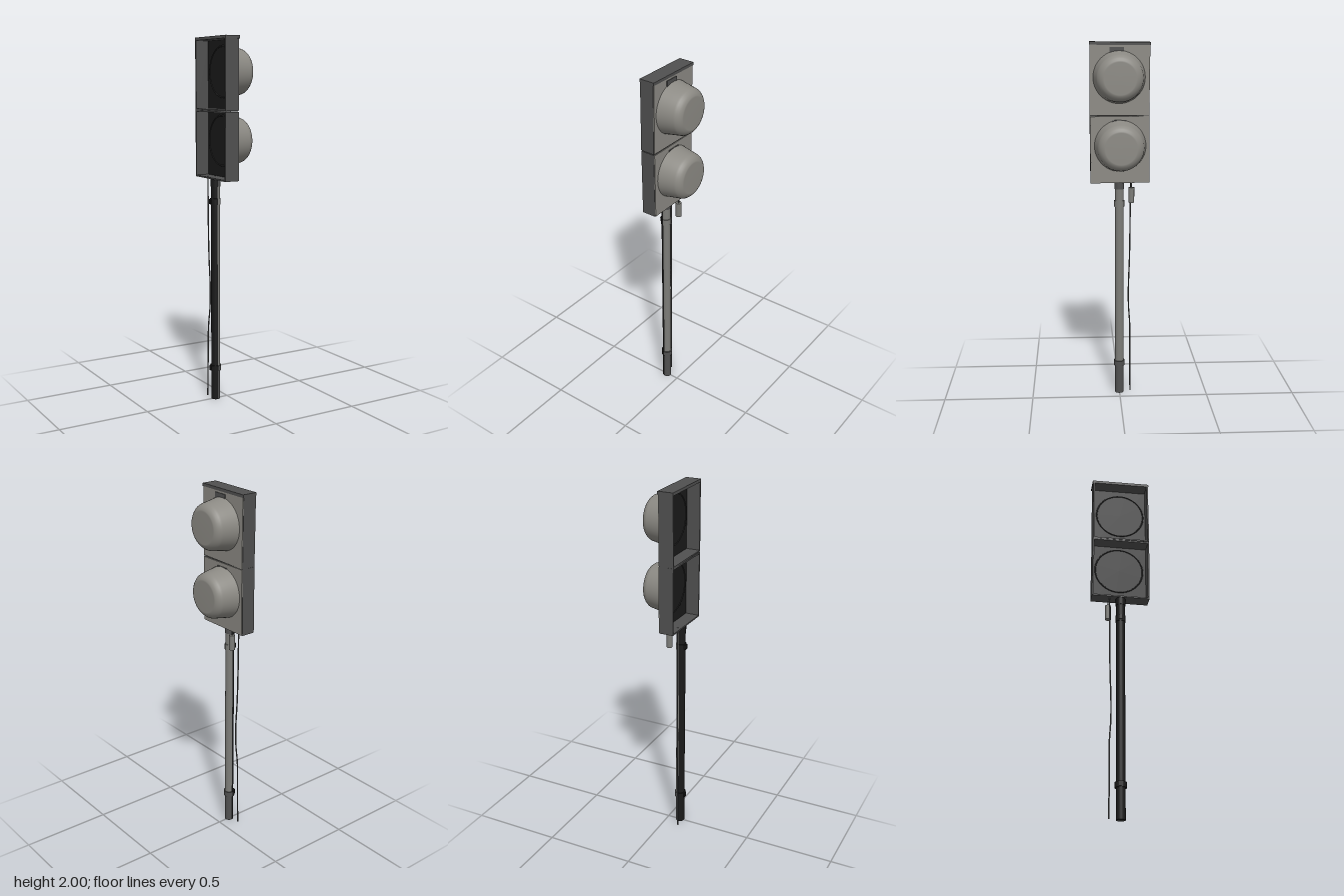
import * as THREE from 'three';

const mat = (name, color, side = THREE.FrontSide) => {
  const m = new THREE.MeshStandardMaterial({ color, side });
  m.name = name;
  return m;
};

export function createModel() {
  const paleGrey = mat('paleGrey', 0x8c8a84);
  const poleGrey = mat('poleGrey', 0x7c7c78);
  const shellGrey = mat('shellGrey', 0x505050);
  const darkGrey = mat('darkGrey', 0x2c2c2c);
  const black = mat('black', 0x1a1a1a);

  const model = new THREE.Group();
  model.name = 'signalLight';

  const add = (parent, name, geometry, material, x = 0, y = 0, z = 0) => {
    const mesh = new THREE.Mesh(geometry, material);
    mesh.name = name;
    mesh.position.set(x, y, z);
    parent.add(mesh);
    return mesh;
  };
  const box = (parent, name, size, material, x, y, z) =>
    add(parent, name, new THREE.BoxGeometry(...size), material, x, y, z);

  // Cup: tapered side, rounded shoulder, flat end, turned to point along +x
  const cupProfile = [
    [0.14, 0], [0.131, 0.05], [0.124, 0.09], [0.12, 0.101], [0.112, 0.112],
    [0.103, 0.12], [0.093, 0.125], [0.085, 0.127], [0, 0.127],
  ].map(([r, h]) => new THREE.Vector2(r, h));

  // One lamp: a tray open towards -x, with a cup on its +x plate
  function lamp(name, yCentre, height, tilt, cupY, cupZ, tabZ) {
    const g = new THREE.Group();
    g.name = name;
    g.position.y = yCentre;
    g.rotation.x = tilt;
    const w = 0.322, t = 0.008, depth = 0.08, x = -0.065;
    for (const s of [-1, 1]) {
      box(g, s > 0 ? 'topWall' : 'bottomWall', [depth, t, w], shellGrey, x, s * (height - t) / 2, 0);
      box(g, 'sideWall', [depth, height - 2 * t, t], shellGrey, x, 0, s * (w - t) / 2);
    }
    box(g, 'facePlate', [0.005, height - 0.004, w - 0.004], paleGrey, -0.0235, 0, 0);
    box(g, 'plateLining', [0.003, height - 2 * t, w - 2 * t], black, -0.0275, 0, 0);
    const cup = add(g, 'cup', new THREE.LatheGeometry(cupProfile, 48), paleGrey, -0.021, cupY, cupZ);
    cup.rotation.z = -Math.PI / 2;
    // Lens and its rim, seen from the open side
    const lens = add(g, 'lens', new THREE.CircleGeometry(0.132, 48), black, -0.031, cupY, cupZ);
    lens.rotation.y = -Math.PI / 2;
    const rim = add(g, 'lensRim', new THREE.TorusGeometry(0.136, 0.004, 6, 48), darkGrey, -0.03, cupY, cupZ);
    rim.rotation.y = Math.PI / 2;
    box(g, 'hoodTab', [0.006, 0.036, 0.078], shellGrey, -0.02, height / 2 - 0.04, tabZ);
    model.add(g);
    return g;
  }

  const upper = lamp('upperLamp', 1.802, 0.386, -0.008, 0.012, 0.004, 0.018);
  lamp('lowerLamp', 1.424, 0.366, 0.006, 0.021, -0.002, 0.002);
  box(upper, 'topCap', [0.086, 0.016, 0.328], shellGrey, -0.062, 0.189, 0);

  // Pole, pale on its +x half and dark on its -x half
  const px = -0.074;
  function post(name, r, y0, y1, paleMaterial, darkMaterial) {
    const h = y1 - y0;
    [[0, paleMaterial, 'OuterHalf'], [Math.PI, darkMaterial, 'InnerHalf']].forEach(([start, m, suffix]) =>
      add(model, name + suffix, new THREE.CylinderGeometry(r, r, h, 12, 1, false, start, Math.PI),
        m, px, y0 + h / 2, 0.001));
  }
  post('poleFoot', 0.025, 0, 0.17, shellGrey, black);
  post('pole', 0.0245, 0.17, 1.2, poleGrey, black);
  post('poleHead', 0.027, 1.2, 1.245, shellGrey, black);
  post('lowerCollar', 0.031, 0.165, 0.195, shellGrey, black);
  post('upperCollar', 0.028, 1.1, 1.135, poleGrey, black);
  // Clamp lugs on the back of the collars
  for (const y of [0.18, 1.118]) box(model, 'clampLug', [0.012, 0.026, 0.02], black, -0.102, y, -0.002);

  // Hanging weight beneath the lower lamp
  add(model, 'hangingWeight', new THREE.CylinderGeometry(0.016, 0.016, 0.085, 14), poleGrey, -0.036, 1.172, -0.064);
  add(model, 'weightWire', new THREE.CylinderGeometry(0.004, 0.004, 0.04, 6), shellGrey, -0.036, 1.23, -0.064);

  // Loose cable running down beside the pole
  const path = new THREE.CatmullRomCurve3([
    [-0.084, 1.25, -0.062], [-0.084, 1.0, -0.06], [-0.082, 0.8, -0.057], [-0.078, 0.63, -0.051],
    [-0.079, 0.52, -0.052], [-0.085, 0.4, -0.06], [-0.088, 0.2, -0.06], [-0.09, 0, -0.062],
  ].map((p) => new THREE.Vector3(...p)));
  add(model, 'cable', new THREE.TubeGeometry(path, 40, 0.004, 6), shellGrey);

  return model;
}
